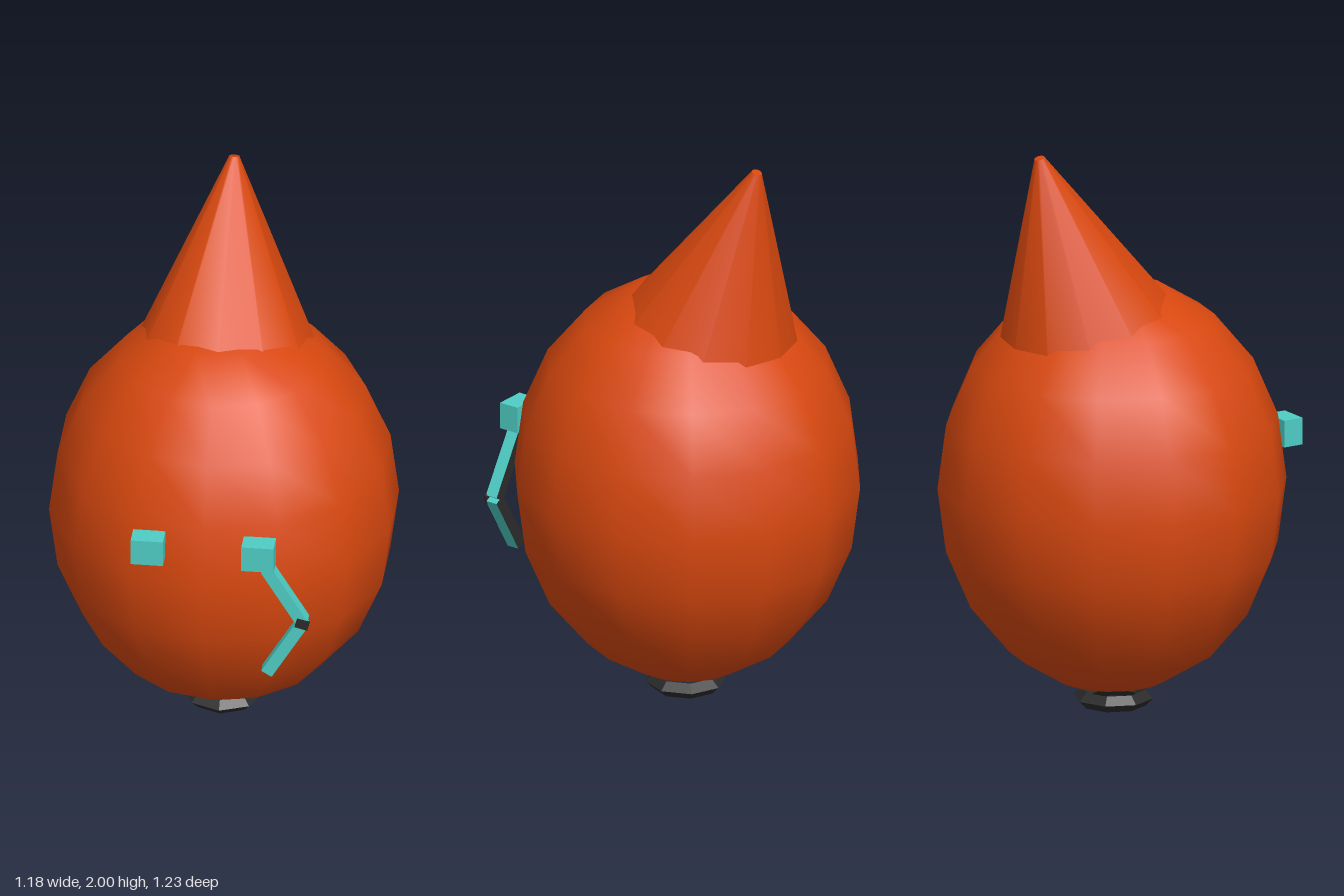
import * as THREE from 'three';

export function createModel() {
  const model = new THREE.Group();
  const paint = (name, color) => {
    const m = new THREE.MeshStandardMaterial({ color });
    m.name = name;
    return m;
  };
  const orange = paint('orange', 0xd9480f);
  const teal = paint('teal', 0x4ecdc4);
  const dark = paint('charcoal', 0x2b2b2b);
  const add = (name, geometry, material, x, y, z, parent = model) => {
    const mesh = new THREE.Mesh(geometry, material);
    mesh.name = name;
    mesh.position.set(x, y, z);
    parent.add(mesh);
    return mesh;
  };

  // Egg-shaped body, with corners of the 14-sided outline on the z axis
  const bodyShape = new THREE.SphereGeometry(1, 14, 10);
  bodyShape.rotateY(Math.PI / 2);
  bodyShape.scale(0.605, 0.73, 0.605);
  add('body', bodyShape, orange, 0, 0.79, -0.01);

  // Pointed cap leaning backwards, placed by its tip
  const capHeight = 0.85;
  const capShape = new THREE.CylinderGeometry(0.018, 0.018 + capHeight * 0.45, capHeight, 12);
  capShape.translate(0, -capHeight / 2, 0);
  add('cap', capShape, orange, 0, 1.995, -0.308).rotation.x = -0.297;

  // Block eyes
  const eyeShape = new THREE.BoxGeometry(0.112, 0.095, 0.075);
  add('leftEye', eyeShape, teal, 0.19, 0.938, 0.573);
  add('rightEye', eyeShape, teal, -0.193, 0.938, 0.573);

  // Bent bar in two halves, teal with a dark rear face
  const elbow = new THREE.Vector2(0.343, 0.675);
  const ends = { upperBar: new THREE.Vector2(0.218, 0.88), lowerBar: new THREE.Vector2(0.218, 0.466) };
  for (const [name, end] of Object.entries(ends)) {
    const along = end.clone().sub(elbow);
    const length = along.length();
    const mid = end.clone().add(elbow).multiplyScalar(0.5);
    const bar = add(name, new THREE.BoxGeometry(0.042, length, 0.046), [teal, teal, teal, teal, teal, dark], mid.x, mid.y, 0.562);
    bar.rotation.z = Math.atan2(along.y, along.x) - Math.PI / 2;
  }
  add('elbowPlate', new THREE.BoxGeometry(0.046, 0.036, 0.006), dark, 0.342, 0.675, 0.585).rotation.z = -0.25;

  // Faceted ring at the foot
  const ringShape = new THREE.TorusGeometry(0.112, 0.028, 4, 8).toNonIndexed();
  ringShape.rotateX(Math.PI / 2);
  ringShape.computeVertexNormals();
  add('footRing', ringShape, dark, 0, 0.028, -0.003);

  return model;
}
